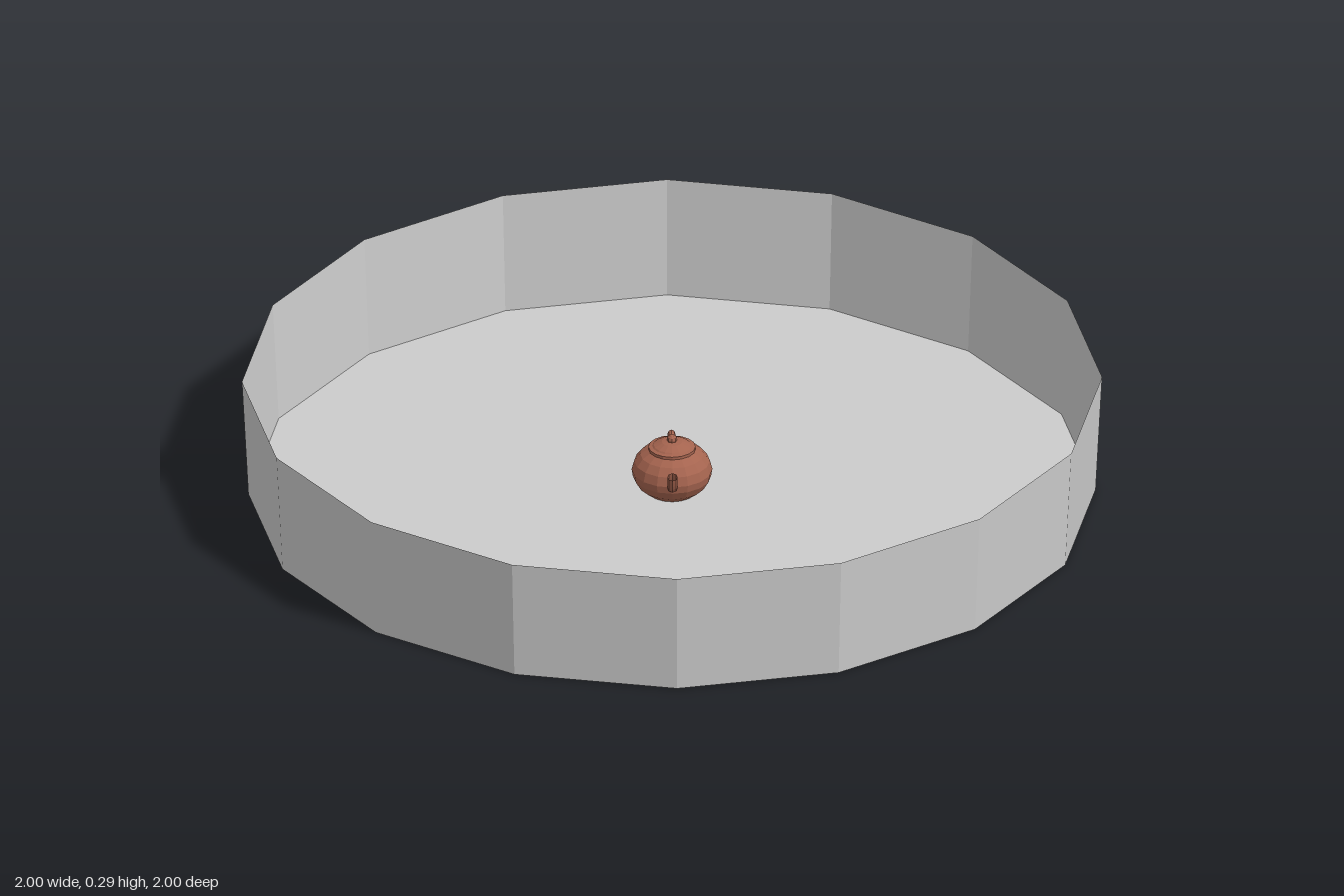
import * as THREE from 'three';

const SIDES = 16;

function material(color) {
  return new THREE.MeshStandardMaterial({ color, flatShading: true, side: THREE.DoubleSide });
}

function add(parent, name, geometry, mat) {
  const mesh = new THREE.Mesh(geometry, mat);
  mesh.name = name;
  parent.add(mesh);
  return mesh;
}

// Surface of revolution from [radius, height] pairs
function turned(profile, sides = SIDES) {
  return new THREE.LatheGeometry(profile.map(([r, y]) => new THREE.Vector2(r, y)), sides);
}

// Tube in the x = 0 plane through [y, z] points
function bent(points, radius, segments) {
  const path = new THREE.CatmullRomCurve3(points.map(([y, z]) => new THREE.Vector3(0, y, z)));
  return new THREE.TubeGeometry(path, segments, radius, 8);
}

export function createModel() {
  const model = new THREE.Group();
  const grey = material(0xcccccc);
  const clay = material(0xa5644f);

  // Thin-walled round tray, flaring slightly to the rim
  const tray = new THREE.Group();
  tray.name = 'tray';
  add(tray, 'trayFloor', turned([[0, 0], [0.985, 0]]), grey);
  add(tray, 'trayWall', turned([[0.985, 0], [1, 0.295]]), grey);
  model.add(tray);

  // Small squat teapot at the centre
  const teapot = new THREE.Group();
  teapot.name = 'teapot';
  add(teapot, 'teapotBody', turned([
    [0, 0.002], [0.055, 0.002], [0.078, 0.02], [0.091, 0.042], [0.094, 0.06],
    [0.088, 0.082], [0.074, 0.1], [0.055, 0.112], [0.04, 0.114],
  ]), clay);

  // Lid with raised rim, shallow dome and knob
  add(teapot, 'lid', turned([
    [0.055, 0.11], [0.055, 0.119], [0.046, 0.121], [0.043, 0.124], [0.024, 0.132], [0, 0.135],
  ]), clay);
  const knob = add(teapot, 'lidKnob', new THREE.SphereGeometry(0.012, 8, 6), clay);
  knob.position.y = 0.138;

  // Spout towards the front, handle loop at the back
  add(teapot, 'spout', bent([[0.052, 0.075], [0.06, 0.094], [0.078, 0.105], [0.097, 0.112]], 0.012, 6), clay);
  add(teapot, 'handle', bent([
    [0.09, -0.078], [0.099, -0.1], [0.088, -0.116], [0.065, -0.117], [0.044, -0.106], [0.034, -0.082],
  ], 0.009, 12), clay);
  model.add(teapot);

  return model;
}
